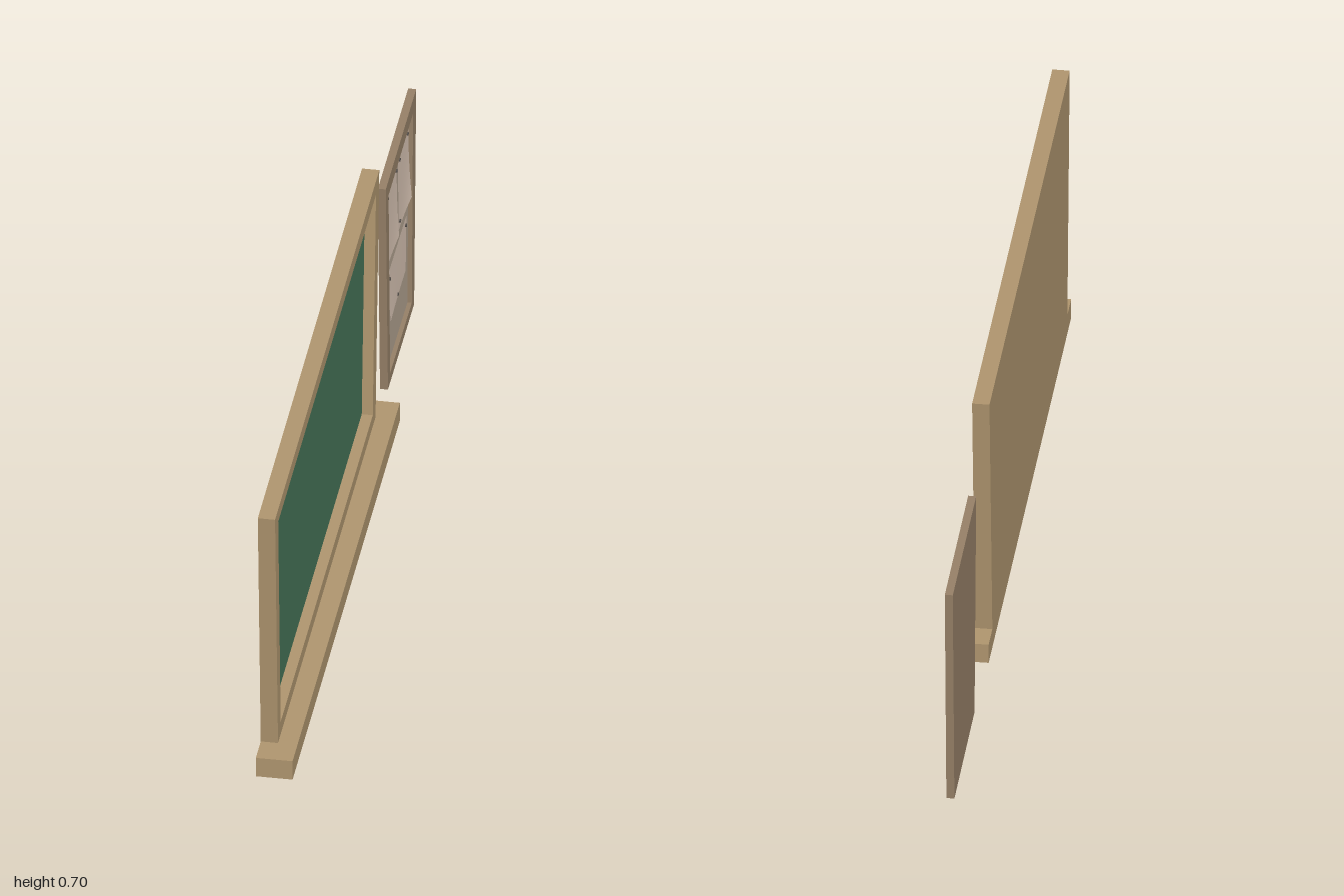
import * as THREE from 'three';

const paint = (color, extra = {}) => new THREE.MeshStandardMaterial({ color, ...extra });
const wood = paint(0xb0966f), darkWood = paint(0x978168), green = paint(0x467559), cork = paint(0xb3a391);
const paper = paint(0xd8c4b4, { side: THREE.DoubleSide }), pinMetal = paint(0x55504c);

// Ring of four corners given as [z, y], counter-clockwise as seen from +x, placed at depth x
const ring = (corners, x) => corners.map(([z, y]) => [x, y, z]);

// Flat-faced skin through a list of rings, optionally closed at either end
function loft(rings, capStart, capEnd) {
  const pos = [];
  const quad = (a, b, c, d) => pos.push(...a, ...b, ...c, ...a, ...c, ...d);
  for (let i = 0; i < rings.length - 1; i++) {
    const r = rings[i], s = rings[i + 1];
    for (let k = 0; k < 4; k++) quad(r[k], r[(k + 1) % 4], s[(k + 1) % 4], s[k]);
  }
  if (capStart) quad(...[...rings[0]].reverse());
  if (capEnd) quad(...rings[rings.length - 1]);
  const g = new THREE.BufferGeometry();
  g.setAttribute('position', new THREE.Float32BufferAttribute(pos, 3));
  g.computeVertexNormals();
  return g;
}

function add(parent, name, geometry, material) {
  const mesh = new THREE.Mesh(geometry, material);
  mesh.name = name;
  parent.add(mesh);
  return mesh;
}

// Solid-backed frame with a recessed panel
function framedPanel(name, outer, inner, [back, front, recess], frameMat, panelMat) {
  const g = new THREE.Group();
  g.name = name;
  add(g, name + 'Frame', loft([ring(outer, back), ring(outer, front), ring(inner, front), ring(inner, recess)], true, false), frameMat);
  add(g, name + 'Surface', loft([ring(inner, recess)], false, true), panelMat);
  return g;
}

// Sheet stretched between four corners, with one lower corner curling forward
function sheet([bl, br, tr, tl], x, curl, curlSide) {
  const g = new THREE.PlaneGeometry(1, 1, 8, 8);
  const p = g.attributes.position;
  const mix = THREE.MathUtils.lerp;
  for (let i = 0; i < p.count; i++) {
    const u = p.getX(i) + 0.5, v = p.getY(i) + 0.5;
    const z = mix(mix(bl[0], br[0], u), mix(tl[0], tr[0], u), v);
    const y = mix(mix(bl[1], br[1], u), mix(tl[1], tr[1], u), v);
    const side = curlSide > 0 ? u : 1 - u;
    const lift = curl * (side * (1 - v)) ** 2;
    p.setXYZ(i, x + lift, y + lift * 0.8, z);
  }
  g.computeVertexNormals();
  return g;
}

export function createModel() {
  const model = new THREE.Group();
  model.name = 'classroomBoards';

  // Large writing board
  const board = framedPanel('chalkboard',
    [[0.933, 0.066], [-0.389, 0.076], [-0.44, 0.705], [0.973, 0.69]],
    [[0.897, 0.102], [-0.352, 0.108], [-0.395, 0.668], [0.93, 0.657]],
    [-0.042, -0.003, -0.028], wood, green);
  model.add(board);

  // Slightly tilted ledge below the board
  const ledge = [[1, 0.019], [-0.455, 0.031], [-0.455, 0.079], [1, 0.068]];
  add(board, 'chalkLedge', loft([ring(ledge, -0.042), ring(ledge, 0.041)], true, true), wood);

  // Small notice board
  const notice = framedPanel('noticeBoard',
    [[-0.617, 0.003], [-0.972, 0], [-1, 0.556], [-0.588, 0.556]],
    [[-0.646, 0.028], [-0.941, 0.024], [-0.957, 0.518], [-0.626, 0.516]],
    [-0.031, -0.013, -0.023], darkWood, cork);
  model.add(notice);

  // Pinned sheets: corners, curl amount and side, pin positions
  const sheets = [
    { corners: [[-0.65, 0.302], [-0.783, 0.3], [-0.785, 0.502], [-0.64, 0.502]], curl: 0.006, side: 1,
      pins: [[-0.656, 0.485], [-0.774, 0.484]] },
    { corners: [[-0.81, 0.298], [-0.938, 0.302], [-0.945, 0.5], [-0.806, 0.502]], curl: 0.009, side: 1,
      pins: [[-0.818, 0.485], [-0.926, 0.484], [-0.824, 0.318]] },
    { corners: [[-0.677, 0.141], [-0.908, 0.131], [-0.918, 0.271], [-0.672, 0.275]], curl: 0.005, side: -1,
      pins: [[-0.684, 0.254], [-0.904, 0.254], [-0.792, 0.143]] },
  ];
  sheets.forEach(({ corners, curl, side, pins }, i) => {
    add(notice, 'paper' + (i + 1), sheet(corners, -0.0215, curl, side), paper);
    for (const [z, y] of pins) {
      const pin = add(notice, 'pin', new THREE.CylinderGeometry(0.004, 0.004, 0.004, 8), pinMetal);
      pin.rotation.z = -Math.PI / 2;
      pin.position.set(-0.02, y, z);
    }
  });

  return model;
}
